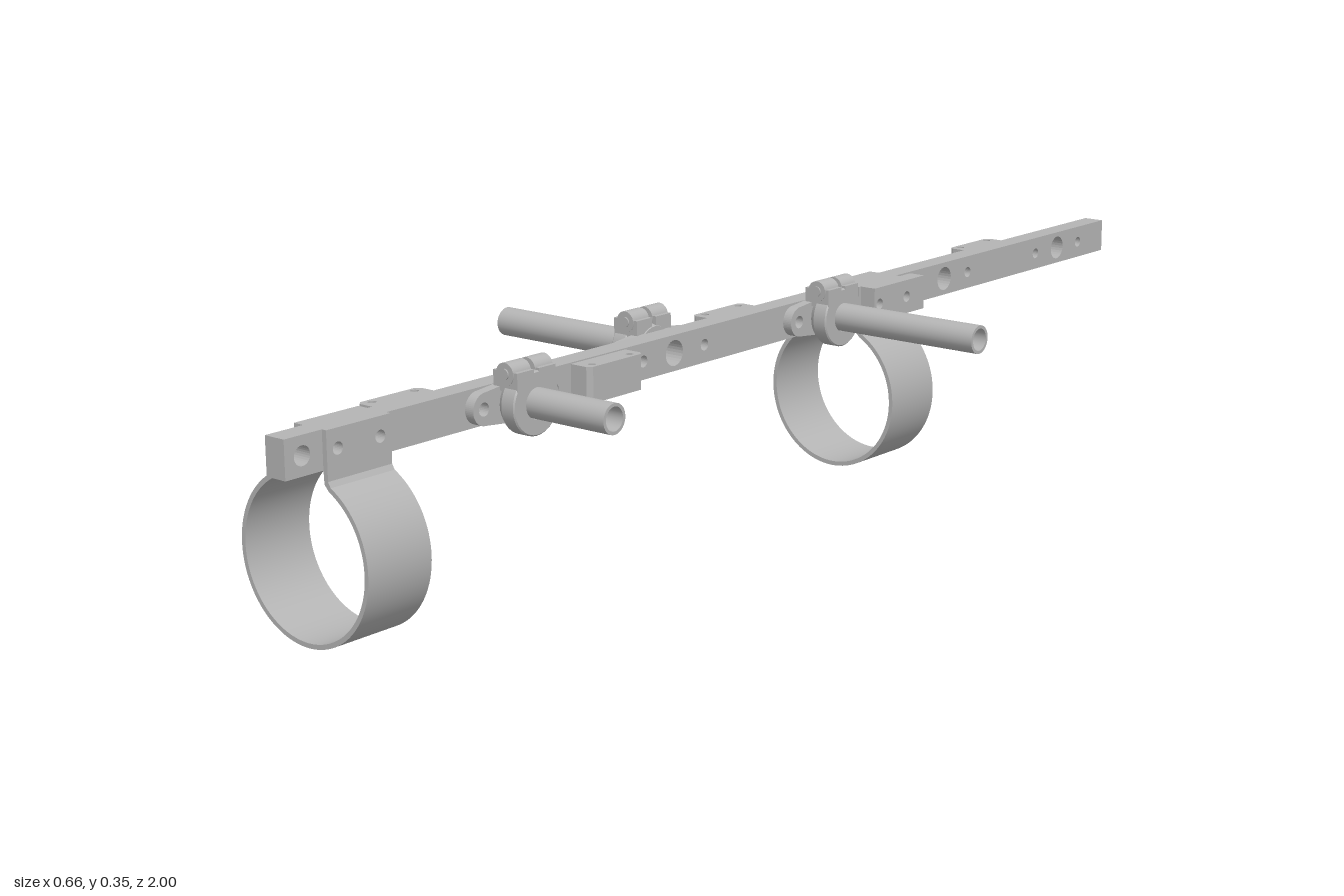
import * as THREE from 'three';

export function createModel() {
  const root = new THREE.Group();
  const metal = new THREE.MeshStandardMaterial({ color: 0xb4b4b4 });
  metal.name = 'grey metal';
  const Y = 0.283; // height of the bar axis
  const y0 = 0.255, y1 = 0.311, half = 0.018;

  const add = (parent, name, geo) => {
    const m = new THREE.Mesh(geo, metal);
    m.name = name;
    parent.add(m);
    return m;
  };
  const group = (name, parent = root) => {
    const g = new THREE.Group();
    g.name = name;
    parent.add(g);
    return g;
  };
  const punch = (shape, u, v, r) => {
    const p = new THREE.Path();
    p.absarc(u, v, r, 0, Math.PI * 2, true);
    shape.holes.push(p);
  };
  const poly = pts => new THREE.Shape(pts.map(p => new THREE.Vector2(...p)));
  const extrude = (shape, depth, curveSegments = 14) =>
    new THREE.ExtrudeGeometry(shape, { depth, bevelEnabled: false, curveSegments });
  // Extrude a shape drawn in (-z, y) along x, from xa to xb
  const alongX = (shape, xa, xb) =>
    extrude(shape, xb - xa).rotateY(Math.PI / 2).translate(xa, 0, 0);
  // Upright plate with holes [z, radius] on the bar axis
  const plate = (xa, xb, za, zb, holes) => {
    const s = poly([[-zb, y0], [-za, y0], [-za, y1], [-zb, y1]]);
    holes.forEach(([z, r]) => punch(s, -z, Y, r));
    return alongX(s, xa, xb);
  };

  // Long drilled bar
  const barHoles = [[0.97, 0.014], [0.915, 0.009], [0.839, 0.009], [-0.25, 0.009], [-0.326, 0.009]];
  for (const z of [0.58, 0.226, -0.132, -0.487, -0.845])
    barHoles.push([z, 0.02], [z + 0.071, 0.009], [z - 0.071, 0.009]);
  add(root, 'bar', plate(-half, half, -1, 1, barHoles));

  // Side blocks with chamfered outer corners and two vertical screw holes
  for (const [side, za, zb] of [[-1, -0.725, -0.607], [-1, -0.02, 0.098], [-1, 0.69, 0.806],
    [1, 0.338, 0.456]]) {
    const a = side * half, b = side * 0.055, c = side * 0.048;
    const s = poly([[a, -za], [c, -za], [b, -za - 0.007], [b, -zb + 0.007], [c, -zb], [a, -zb]]);
    for (const z of [za + 0.018, zb - 0.018]) punch(s, side * 0.043, -z, 0.006);
    add(root, 'sideBlock', extrude(s, y1 - y0 - 0.002).rotateX(-Math.PI / 2).translate(0, y0, 0));
  }
  // Block over the rear hoop tab, drilled sideways
  add(root, 'drilledBlock', plate(0.026, 0.054, -0.375, -0.236, [[-0.25, 0.009], [-0.326, 0.009]]));

  // Open hoops hung from the bar by two upright tabs
  for (const z of [0.877, -0.288]) {
    const g = group('hoop');
    const cx = -0.028, cy = 0.124, ro = 0.124, ri = 0.117;
    const A = 1.75, B = 1.08 + Math.PI * 2;
    const s = new THREE.Shape();
    s.moveTo(-0.029, y0);
    s.lineTo(-0.036, y0);
    s.lineTo(-0.038, 0.251);
    s.absarc(cx, cy, ro, A, B, false);
    s.lineTo(0.026, 0.241);
    s.lineTo(0.026, y0);
    s.lineTo(0.018, y0);
    s.lineTo(0.019, 0.236);
    s.absarc(cx, cy, ri, B, A, true);
    s.lineTo(-0.034, 0.245);
    s.lineTo(-0.029, 0.25);
    const ring = extrude(s, 0.115, 48).translate(0, 0, z - 0.0575);
    // Smooth the round walls by pointing normals along the radius
    const p = ring.attributes.position, n = ring.attributes.normal;
    for (let i = 0; i < p.count; i++) {
      const dx = p.getX(i) - cx, dy = p.getY(i) - cy, d = Math.hypot(dx, dy);
      if (Math.abs(n.getZ(i)) > 0.5 || d > ro + 0.0005 || d < ri - 0.0005) continue;
      const k = (n.getX(i) * dx + n.getY(i) * dy) / d;
      if (Math.abs(k) > 0.95) n.setXYZ(i, Math.sign(k) * dx / d, Math.sign(k) * dy / d, 0);
    }
    add(g, 'hoopBand', ring);
    const holes = [[z + 0.038, 0.009], [z - 0.038, 0.009]];
    add(g, 'leftTab', plate(half, 0.026, z - 0.0575, z + 0.0575, holes));
    add(g, 'rightTab', plate(-0.036, -0.029, z - 0.0575, z + 0.0575, holes));
    add(g, 'tabSpacer', plate(-0.029, -half, z - 0.0575, z + 0.0575, holes));
  }

  // Revolve a closed (radius, x) profile around the x axis, keeping edges sharp
  const turned = (pts, name, parent) => {
    const g = group(name, parent);
    pts.forEach((p, i) => {
      const q = pts[(i + 1) % pts.length];
      add(g, 'turnedFace', new THREE.LatheGeometry(
        [new THREE.Vector2(...p), new THREE.Vector2(...q)], 32).rotateZ(-Math.PI / 2));
    });
    return g;
  };

  // Flanged split clamps, each holding a hollow tube
  for (const [side, z, length] of [[1, 0.58, 0.212], [-1, 0.226, 0.33], [1, -0.132, 0.33]]) {
    const g = group('tubeClamp');
    g.position.set(0, Y, z);
    if (side < 0) g.rotation.y = Math.PI;

    // Flange with rounded ends and two screw holes
    const s = new THREE.Shape();
    s.absarc(0.068, 0, 0.024, -Math.PI / 2, Math.PI / 2, false);
    s.lineTo(0.03, 0.028);
    s.lineTo(-0.03, 0.028);
    s.absarc(-0.068, 0, 0.024, Math.PI / 2, Math.PI * 1.5, false);
    s.lineTo(-0.03, -0.028);
    s.lineTo(0.03, -0.028);
    punch(s, 0, 0, 0.0225);
    for (const u of [-0.071, 0.071]) punch(s, u, 0, 0.01);
    add(g, 'flange', alongX(s, half, 0.034));

    // Collar: narrow neck opening into a wide ring
    turned([[0.0225, 0.02], [0.036, 0.02], [0.04, 0.034], [0.047, 0.044],
      [0.047, 0.066], [0.045, 0.068], [0.0225, 0.068]], 'collar', g);

    // Pinch ears and their cross screw
    for (const e of [-1, 1]) {
      add(g, 'ear', new THREE.BoxGeometry(0.046, 0.029, 0.034).translate(0.045, 0.0355, e * 0.022));
      add(g, 'earTop', new THREE.CylinderGeometry(0.0165, 0.0165, 0.036, 24)
        .rotateX(Math.PI / 2).translate(0.045, 0.046, e * 0.022));
    }
    add(g, 'crossScrew', new THREE.CylinderGeometry(0.008, 0.008, 0.084, 16)
      .rotateX(Math.PI / 2).translate(0.045, 0.046, 0));

    // Tube
    turned([[0.0175, half], [0.0225, half], [0.0225, length], [0.0175, length]], 'tube', g)
      .position.y = 0.001;
  }
  return root;
}
